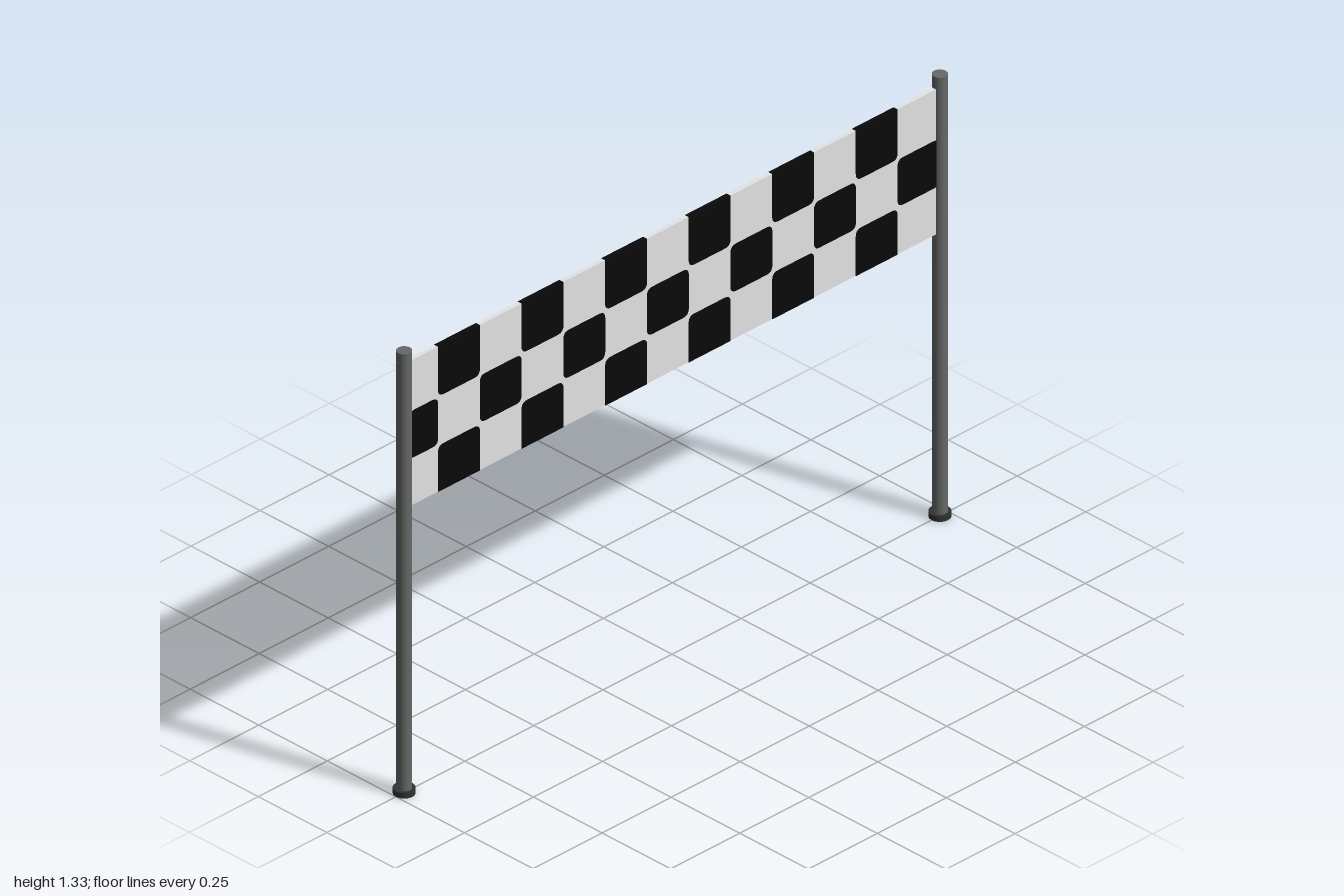
import * as THREE from 'three';

const BOTTOM = 0.858, TOP = 1.294, HALF = 0.96;
const CELL = 0.151, FIRST = -0.854;

// Rectangle with separate corner radii for its lower and upper corners
function checkShape(x0, x1, y0, y1, lo, hi) {
  const s = new THREE.Shape();
  s.moveTo(x0 + lo, y0);
  s.lineTo(x1 - lo, y0);
  s.quadraticCurveTo(x1, y0, x1, y0 + lo);
  s.lineTo(x1, y1 - hi);
  s.quadraticCurveTo(x1, y1, x1 - hi, y1);
  s.lineTo(x0 + hi, y1);
  s.quadraticCurveTo(x0, y1, x0, y1 - hi);
  s.lineTo(x0, y0 + lo);
  s.quadraticCurveTo(x0, y0, x0 + lo, y0);
  return s;
}

export function createModel() {
  const mat = (name, color) => {
    const m = new THREE.MeshStandardMaterial({ color });
    m.name = name;
    return m;
  };
  const poleGrey = mat('pole grey', 0x666967);
  const baseGrey = mat('base dark grey', 0x303231);
  const white = mat('banner white', 0xe4e4e4);
  const black = mat('check black', 0x0a0a0a);

  const model = new THREE.Group();
  model.name = 'finishBanner';
  const add = (parent, name, geo, material, x, y, z) => {
    const mesh = new THREE.Mesh(geo, material);
    mesh.name = name;
    mesh.position.set(x, y, z);
    parent.add(mesh);
  };

  // Two upright poles with small round feet
  for (const side of [-1, 1]) {
    const post = new THREE.Group();
    post.name = side > 0 ? 'leftPost' : 'rightPost';
    add(post, 'pole', new THREE.CylinderGeometry(0.021, 0.021, 1.32, 20), poleGrey, 0, 0.67, 0);
    add(post, 'foot', new THREE.CylinderGeometry(0.03, 0.03, 0.016, 20), baseGrey, 0, 0.008, 0);
    post.position.x = side * 0.97;
    model.add(post);
  }

  // White cloth stretched between the poles
  add(model, 'banner', new THREE.BoxGeometry(2 * HALF, TOP - BOTTOM, 0.013), white, 0, (TOP + BOTTOM) / 2, 0);

  // Black checks run through the cloth; corners inside the banner are rounded
  const checks = new THREE.Group();
  checks.name = 'checks';
  model.add(checks);
  const r = 0.02, lip = 0.0005;
  const rows = [
    { y0: 1.144, y1: TOP + lip, lo: r, hi: 0, shift: 0, count: 6 },
    { y0: 1.0, y1: 1.142, lo: r, hi: r, shift: -1, count: 7 },
    { y0: BOTTOM - lip, y1: 0.996, lo: 0, hi: r, shift: 0, count: 6 },
  ];
  for (const { y0, y1, lo, hi, shift, count } of rows) {
    for (let i = 0; i < count; i++) {
      const start = FIRST + (2 * i + shift) * CELL * 1.002;
      const x0 = Math.max(start, -HALF), x1 = Math.min(start + CELL, HALF);
      const geo = new THREE.ExtrudeGeometry(checkShape(x0, x1, y0, y1, lo, hi),
        { depth: 0.015, bevelEnabled: false, curveSegments: 5 });
      add(checks, 'check', geo, black, 0, 0, -0.0075);
    }
  }
  return model;
}
